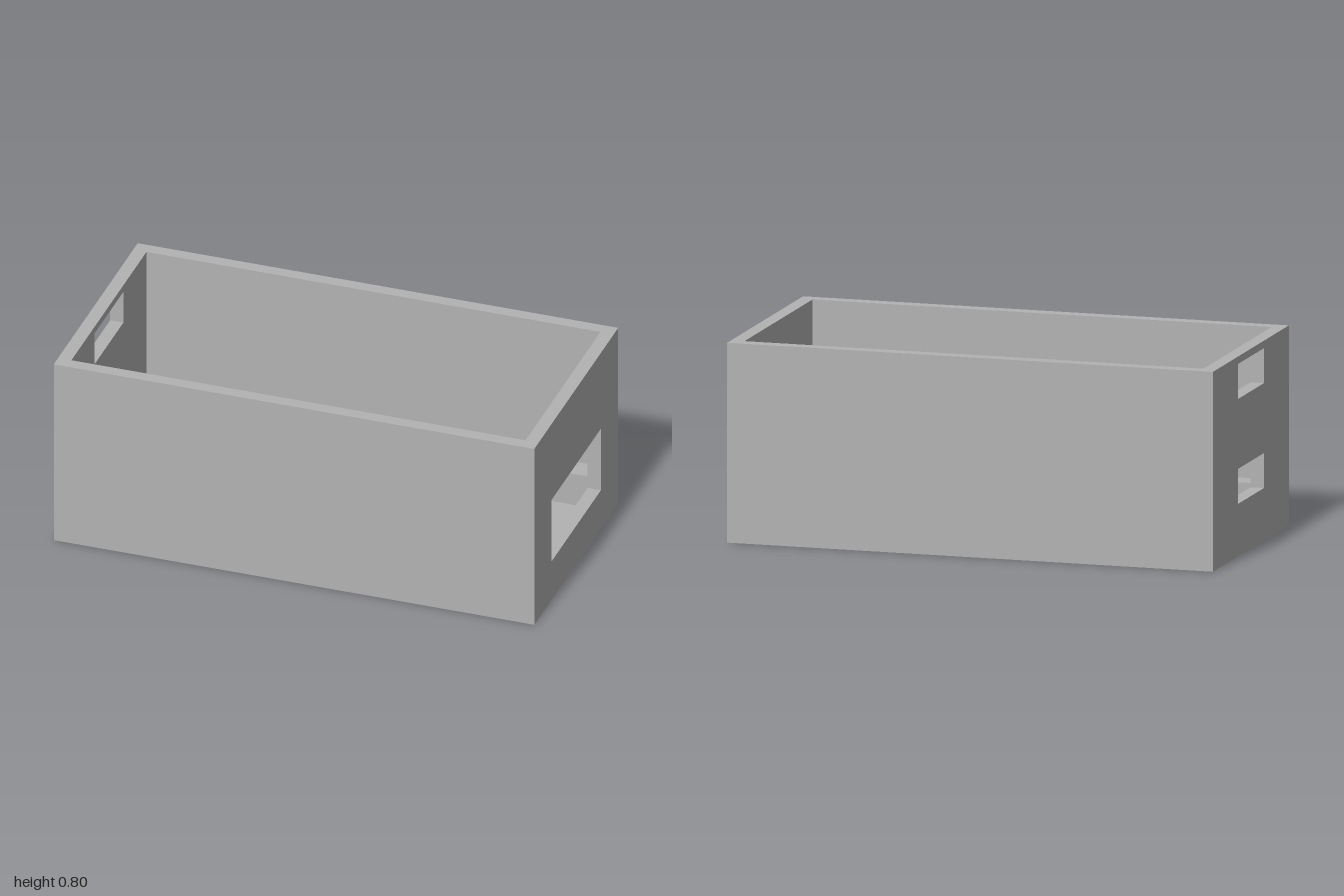
import * as THREE from 'three';

const HALF_LENGTH = 1, HALF_WIDTH = 0.5, HEIGHT = 0.8, WALL = 0.055;
const POCKET = 0.447, CHANNEL = 0.353;   // half widths above and below the ledges
const FLOOR = 0.05, LEDGE = 0.19;

// Extrudes a z-y outline along x, starting at the given x
function extrudeAlongX(shape, start, length) {
  const geometry = new THREE.ExtrudeGeometry(shape, { depth: length, bevelEnabled: false });
  geometry.rotateY(Math.PI / 2);
  geometry.translate(start, 0, 0);
  return geometry;
}

function outline(points) {
  return new THREE.Shape(points.map(([z, y]) => new THREE.Vector2(z, y)));
}

function opening(halfWidth, bottom, top) {
  return new THREE.Path([
    new THREE.Vector2(-halfWidth, bottom), new THREE.Vector2(-halfWidth, top),
    new THREE.Vector2(halfWidth, top), new THREE.Vector2(halfWidth, bottom),
  ]);
}

export function createModel() {
  const group = new THREE.Group();
  group.name = 'openBox';
  const grey = new THREE.MeshStandardMaterial({ color: 0xb2b2b2 });
  grey.name = 'grey';

  function add(name, geometry) {
    const mesh = new THREE.Mesh(geometry, grey);
    mesh.name = name;
    group.add(mesh);
  }

  // Floor, stepped ledges and long walls as one cross-section
  const half = [
    [HALF_WIDTH, 0], [HALF_WIDTH, HEIGHT], [POCKET, HEIGHT],
    [POCKET, LEDGE], [CHANNEL, LEDGE], [CHANNEL, FLOOR],
  ];
  const mirrored = half.map(([z, y]) => [-z, y]).reverse();
  const inner = HALF_LENGTH - WALL;
  add('trayWithLedges', extrudeAlongX(outline([...half, ...mirrored]), -inner, 2 * inner));

  // End walls with their openings
  function endWall(name, start, holes) {
    const shape = outline([
      [-HALF_WIDTH, 0], [HALF_WIDTH, 0], [HALF_WIDTH, HEIGHT], [-HALF_WIDTH, HEIGHT],
    ]);
    shape.holes.push(...holes);
    add(name, extrudeAlongX(shape, start, WALL));
  }
  endWall('leftEndWall', inner, [opening(0.293, 0.175, 0.455)]);
  endWall('rightEndWall', -HALF_LENGTH, [opening(0.172, 0.21, 0.35), opening(0.172, 0.63, 0.77)]);

  return group;
}
